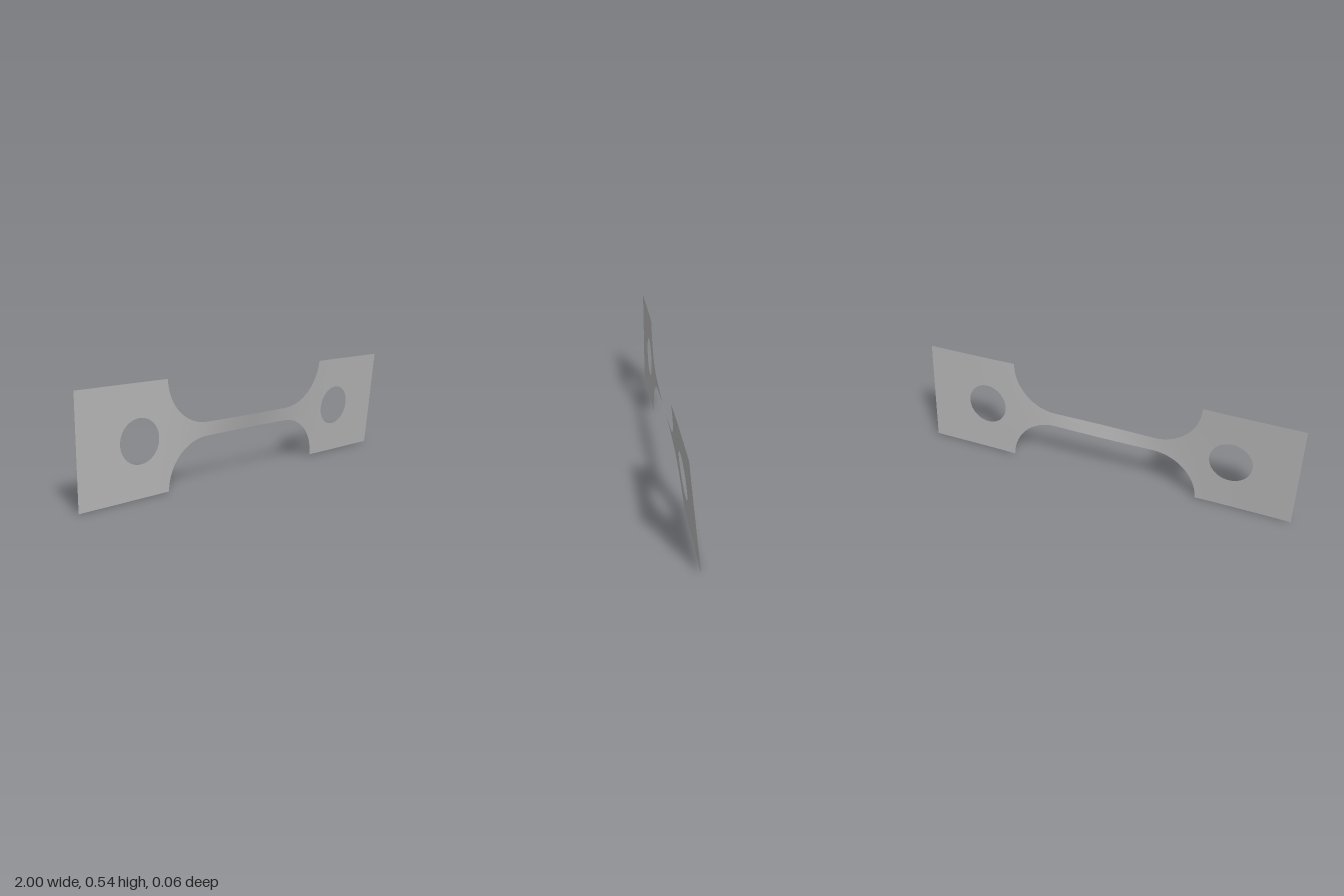
import * as THREE from 'three';
import { mergeVertices } from 'three/addons/utils/BufferGeometryUtils.js';

const MID = 0.27;                                 // half height of the end plates
const FILLET = { x: 0.272, y: 0.272, r: 0.236 };  // fillet circle, measured from the middle line
const HOLE = { x: 0.67, r: 0.108 };

// Half height of the outline at x
function outer(x) {
  const d = Math.abs(x) - FILLET.x;
  if (d <= 0) return FILLET.y - FILLET.r;
  if (d >= FILLET.r) return MID;
  return Math.min(MID, FILLET.y - Math.sqrt(FILLET.r ** 2 - d * d));
}

// Half height of the hole at x
function inner(x) {
  const d = Math.abs(x) - HOLE.x;
  return Math.sqrt(Math.max(0, HOLE.r ** 2 - d * d));
}

// Twist about the long axis: one end almost straight, most at the neck
function twist(x) {
  const degrees = 0.4 + 5.7 * THREE.MathUtils.smoothstep(x, -0.5, 0.5) + 11.5 * Math.exp(-((x / 0.3) ** 2));
  return THREE.MathUtils.degToRad(degrees);
}

// Column positions, closer together where the curves are steep
function columns() {
  const half = [];
  const line = (a, b, n) => { for (let i = 0; i < n; i++) half.push(a + (b - a) * i / n); };
  line(0, FILLET.x, 16);
  for (let i = 0; i < 32; i++) half.push(FILLET.x + FILLET.r * Math.sin(Math.PI / 2 * i / 32));
  line(FILLET.x + FILLET.r, HOLE.x - HOLE.r, 4);
  for (let i = 0; i < 40; i++) half.push(HOLE.x - HOLE.r * Math.cos(Math.PI * i / 40));
  line(HOLE.x + HOLE.r, 1, 10);
  half.push(1);
  return [...half.slice(1).reverse().map((x) => -x), ...half];
}

// Sheet made of an upper and a lower strip that meet on the middle line
function sheetGeometry() {
  const xs = columns(), rows = 10, pos = [], index = [];
  for (const side of [1, -1]) {
    const base = pos.length / 3;
    xs.forEach((x, i) => {
      const a = twist(x);
      for (let j = 0; j <= rows; j++) {
        const h = side * THREE.MathUtils.lerp(inner(x), outer(x), j / rows);
        pos.push(x, MID + h * Math.cos(a), h * Math.sin(a));
        if (i === xs.length - 1 || j === rows) continue;
        const p = base + i * (rows + 1) + j, q = p + rows + 1;
        if (side > 0) index.push(p, q, q + 1, p, q + 1, p + 1);
        else index.push(p, q + 1, q, p, p + 1, q + 1);
      }
    });
  }
  let geometry = new THREE.BufferGeometry();
  geometry.setAttribute('position', new THREE.Float32BufferAttribute(pos, 3));
  geometry.setIndex(index);
  geometry = mergeVertices(geometry, 1e-5);
  geometry.computeVertexNormals();
  return geometry;
}

export function createModel() {
  const grey = new THREE.MeshStandardMaterial({ color: 0xb4b4b4, side: THREE.DoubleSide });
  grey.name = 'plain grey';
  const sheet = new THREE.Mesh(sheetGeometry(), grey);
  sheet.name = 'twistedSheet';
  const group = new THREE.Group();
  group.name = 'testStrip';
  group.add(sheet);
  return group;
}
